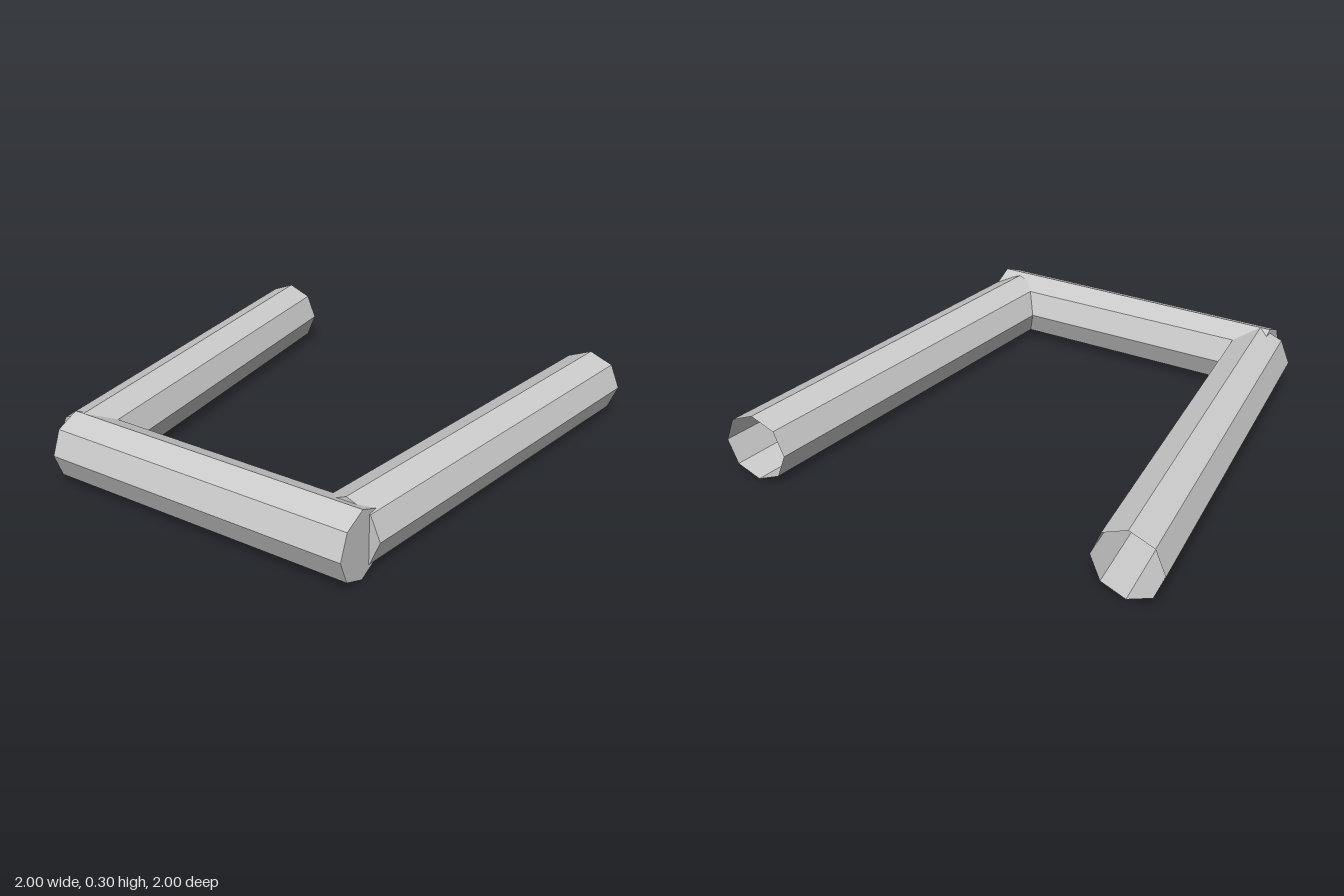
import * as THREE from 'three';
import { mergeGeometries } from 'three/addons/utils/BufferGeometryUtils.js';

const RADIUS = 0.15;

// Eight-sided beam along z, its axis slanting from x0 at z0 to x1 at z1
// while both ends stay square to z. The far (z1) end is always closed.
function slantedBeam(z0, x0, z1, x1, closeStart) {
  const length = z1 - z0;
  const parts = [
    new THREE.CylinderGeometry(RADIUS, RADIUS, length, 8, 1, true)
      .rotateX(Math.PI / 2).translate(0, 0, (z0 + z1) / 2),
    new THREE.CircleGeometry(RADIUS, 8).translate(0, 0, z1),
  ];
  if (closeStart) {
    parts.push(new THREE.CircleGeometry(RADIUS, 8).rotateY(Math.PI).translate(0, 0, z0));
  }
  const geometry = mergeGeometries(parts);
  const pos = geometry.attributes.position;
  for (let i = 0; i < pos.count; i++) {
    const t = (pos.getZ(i) - z0) / length;
    pos.setX(i, pos.getX(i) + THREE.MathUtils.lerp(x0, x1, t));
  }
  geometry.translate(0, RADIUS, 0);
  geometry.computeVertexNormals();
  return geometry;
}

export function createModel() {
  const group = new THREE.Group();
  const material = new THREE.MeshStandardMaterial({
    color: 0xcccccc, flatShading: true, side: THREE.DoubleSide,
  });
  const add = (name, geometry) => {
    const mesh = new THREE.Mesh(geometry, material);
    mesh.name = name;
    group.add(mesh);
  };

  // Side arms, splayed outward towards their open back ends
  add('rightArm', slantedBeam(-1, -0.85, 0.8, -0.677, false));
  add('leftArm', slantedBeam(-1, 0.85, 0.8, 0.622, false));

  // Slightly skewed front bar, closed at both ends
  add('frontBar', slantedBeam(-0.724, -0.797, 0.724, -0.848, true).rotateY(Math.PI / 2));

  return group;
}
